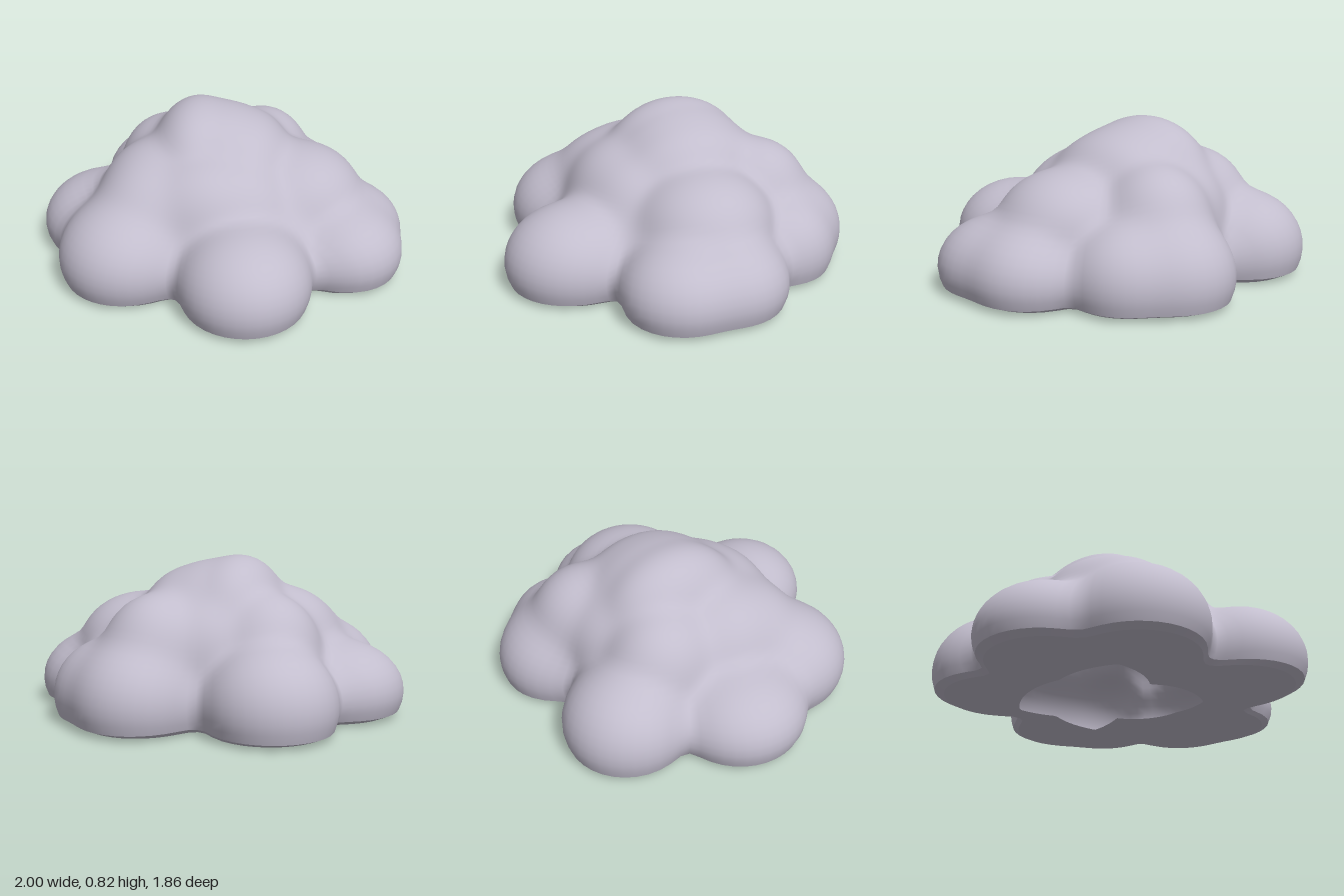
import * as THREE from 'three';

// Puffs of the cloud: centre x, y, z and radii x, y, z
const PUFFS = [
  [0.00, 0.10, -0.04, 0.74, 0.45, 0.65],   // core that fills the gaps
  [-0.41, 0.14, -0.57, 0.33, 0.30, 0.33],  // back, right side
  [0.26, 0.14, -0.57, 0.33, 0.31, 0.36],   // back, left side
  [0.46, 0.14, -0.48, 0.275, 0.27, 0.28],
  [0.695, 0.13, -0.06, 0.30, 0.25, 0.305], // left flank, two merged puffs
  [0.68, 0.13, 0.18, 0.305, 0.25, 0.31],
  [0.17, 0.14, 0.57, 0.34, 0.29, 0.36],    // front
  [-0.47, 0.15, 0.36, 0.35, 0.30, 0.36],   // front, right side
  [-0.66, 0.13, -0.05, 0.34, 0.26, 0.35],  // right flank
  [-0.33, 0.34, 0.05, 0.31, 0.31, 0.34],   // upper tier
  [-0.34, 0.28, 0.22, 0.31, 0.31, 0.29],
  [-0.33, 0.35, -0.31, 0.27, 0.30, 0.29],
  [0.42, 0.34, -0.05, 0.34, 0.27, 0.35],
  [0.20, 0.36, -0.46, 0.27, 0.29, 0.28],
  [-0.05, 0.35, -0.38, 0.26, 0.28, 0.27],
  [-0.06, 0.35, 0.23, 0.33, 0.29, 0.27],
  [0.12, 0.33, 0.20, 0.26, 0.27, 0.25],
  [-0.14, 0.55, -0.12, 0.23, 0.275, 0.36], // crown
  [0.01, 0.52, -0.12, 0.24, 0.27, 0.36],
  [0.14, 0.50, -0.11, 0.23, 0.25, 0.35],
];
// Corners of the ragged opening below: angle in degrees, radius
const OPENING = [
  [-45, 0.28], [24, 0.32], [55, 0.40], [121, 0.26], [152, 0.50],
  [196, 0.45], [250, 0.60], [268, 0.46], [306, 0.51], [315, 0.28], [384, 0.32],
];
const BLEND = 0.032, BASE = 0.035, SIDES = 112, ROWS = 34;

// Smoothly blended distance to all puffs
function field(x, y, z) {
  let sum = 0;
  for (const [cx, cy, cz, rx, ry, rz] of PUFFS) {
    const a = (x - cx) / rx, b = (y - cy) / ry, c = (z - cz) / rz;
    const k0 = Math.hypot(a, b, c), k1 = Math.hypot(a / rx, b / ry, c / rz) + 1e-6;
    sum += Math.exp(Math.min(40, -k0 * (k0 - 1) / k1 / BLEND));
  }
  return -BLEND * Math.log(sum + 1e-30);
}

// Outermost point of the cloud along a direction from the base centre
function surfacePoint(angle, elevation) {
  const dx = Math.cos(elevation) * Math.cos(angle);
  const dy = Math.sin(elevation);
  const dz = Math.cos(elevation) * Math.sin(angle);
  const at = t => field(dx * t, BASE + dy * t, dz * t);
  let lo = 1.3;
  while (lo > 0.1 && at(lo) > 0) lo -= 0.02;
  let hi = lo + 0.02;
  for (let i = 0; i < 8; i++) {
    const mid = (lo + hi) / 2;
    if (at(mid) > 0) hi = mid; else lo = mid;
  }
  return [dx * lo, BASE + dy * lo, dz * lo];
}

// Point on the edge of the opening
function openingPoint(angle) {
  const degrees = THREE.MathUtils.radToDeg(angle);
  const i = OPENING.findIndex(corner => corner[0] > degrees);
  const [a0, r0] = OPENING[i - 1], [a1, r1] = OPENING[i];
  const radius = THREE.MathUtils.mapLinear(degrees, a0, a1, r0, r1);
  return [Math.cos(angle) * radius, 0.005, Math.sin(angle) * radius];
}

// Surface through closed rings of points, with an optional last pole point
function skin(rings, pole) {
  const positions = rings.flat(2), index = [];
  for (let r = 0; r < rings.length - 1; r++) {
    for (let s = 0; s < SIDES; s++) {
      const n = (s + 1) % SIDES;
      const a = r * SIDES + s, b = r * SIDES + n, c = a + SIDES, d = b + SIDES;
      index.push(a, c, b, b, c, d);
    }
  }
  if (pole) {
    positions.push(...pole);
    const last = (rings.length - 1) * SIDES, tip = rings.length * SIDES;
    for (let s = 0; s < SIDES; s++) index.push(last + s, tip, last + (s + 1) % SIDES);
  }
  const geometry = new THREE.BufferGeometry();
  geometry.setAttribute('position', new THREE.Float32BufferAttribute(positions, 3));
  geometry.setIndex(index);
  geometry.computeVertexNormals();
  return geometry;
}

export function createModel() {
  const group = new THREE.Group();
  group.name = 'cloud';
  const cloudGrey = new THREE.MeshStandardMaterial({ color: 0xc2bdcd, side: THREE.DoubleSide });
  cloudGrey.name = 'cloudGrey';
  const addPart = (name, geometry) => {
    const mesh = new THREE.Mesh(geometry, cloudGrey);
    mesh.name = name;
    group.add(mesh);
  };

  const angles = Array.from({ length: SIDES }, (_, s) => (s / SIDES) * Math.PI * 2);
  const rings = [];
  for (let r = 0; r < ROWS; r++) {
    const elevation = (r / ROWS) * Math.PI / 2;
    rings.push(angles.map(a => surfacePoint(a, elevation)));
  }

  // Billowing upper shell
  addPart('billowingShell', skin(rings, surfacePoint(0, Math.PI / 2)));

  // Nearly flat underside with a ragged opening into the hollow shell
  const outline = rings[0];
  const inset = outline.map(([x, , z]) => [x * 0.95, 0.014, z * 0.95]);
  addPart('lowerRim', skin([inset, outline]));
  addPart('underside', skin([angles.map(openingPoint), inset]));
  return group;
}
